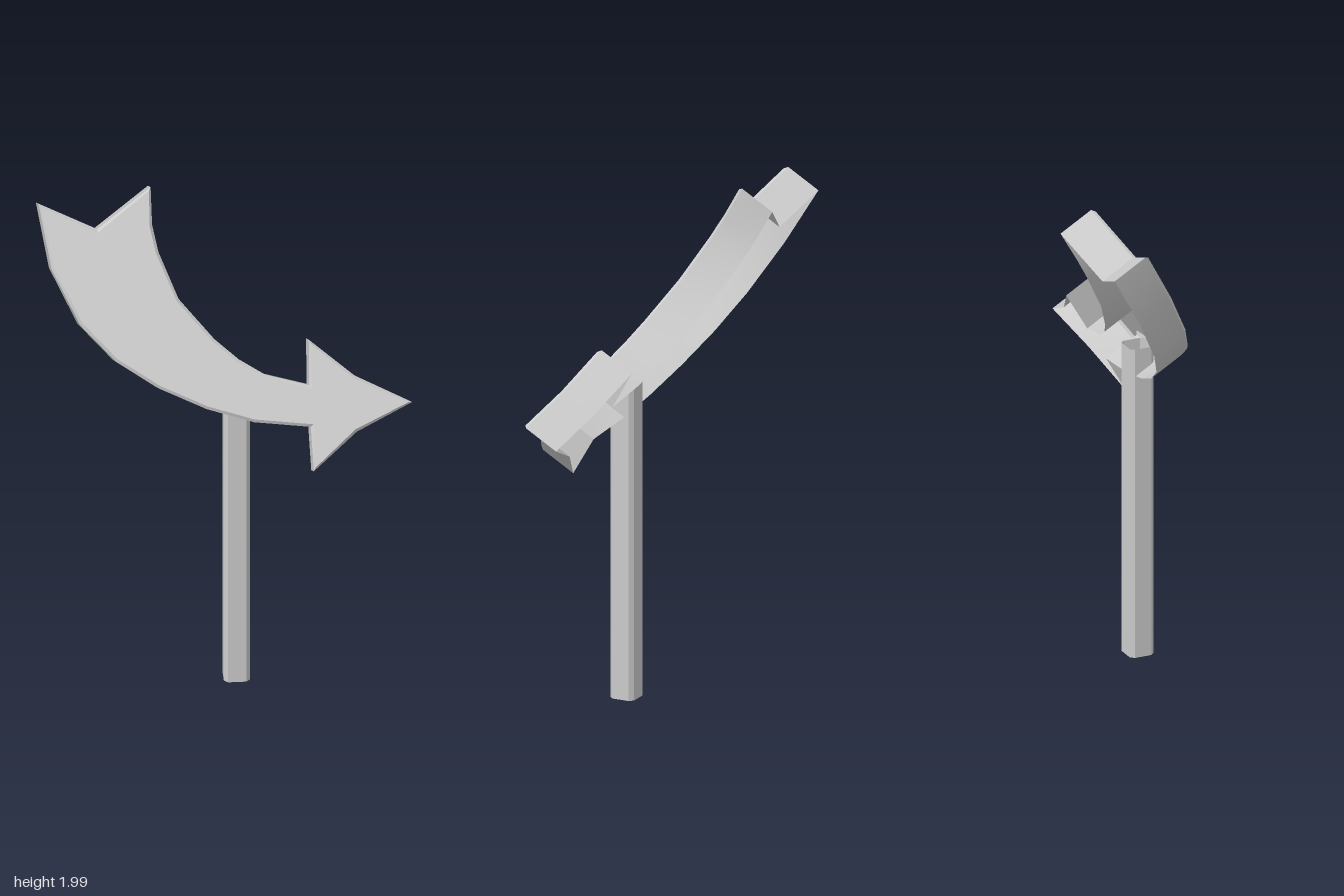
import * as THREE from 'three';
import { toCreasedNormals } from 'three/addons/utils/BufferGeometryUtils.js';

const TILT = Math.PI / 6;      // plate leans back
const THICK = 0.16;
const BASE_Y = 1.04, BASE_Z = 0.35; // lowest point of the plate's front face

// Outline of the front face as [x, height]
const tail = [[-0.70, 1.96], [-0.48, 1.868], [-0.27, 2.0]];
const innerCurve = [[-0.27, 1.875], [-0.25, 1.785], [-0.18, 1.627], [-0.05, 1.49],
  [0.04, 1.42], [0.14, 1.365], [0.305, 1.325]];
const head = [[0.31, 1.475], [0.48, 1.35], [0.695, 1.255], [0.48, 1.165], [0.31, 1.04]];
const outerCurve = [[0.305, 1.187], [0.09, 1.21], [-0.09, 1.26], [-0.27, 1.335],
  [-0.43, 1.43], [-0.56, 1.555], [-0.66, 1.743]];

// Drops every triangle that lies wholly at or behind z = 0
function openBack(geometry) {
  const pos = geometry.attributes.position;
  const kept = [];
  for (let i = 0; i < pos.count; i += 3) {
    if (Math.max(pos.getZ(i), pos.getZ(i + 1), pos.getZ(i + 2)) < 1e-5) continue;
    for (let k = i; k < i + 3; k++) kept.push(pos.getX(k), pos.getY(k), pos.getZ(k));
  }
  const shell = new THREE.BufferGeometry();
  shell.setAttribute('position', new THREE.Float32BufferAttribute(kept, 3));
  return shell;
}

function createArrow(material) {
  const points = [...tail, ...innerCurve, ...head, ...outerCurve].map(
    ([x, y]) => new THREE.Vector2(x, (y - BASE_Y) / Math.cos(TILT)));
  const bevel = 0.011;
  // Hollow tray: front face, narrow bevel and side walls, open behind
  const solid = new THREE.ExtrudeGeometry(new THREE.Shape(points), {
    depth: THICK - bevel,
    bevelEnabled: true,
    bevelThickness: bevel,
    bevelSize: bevel,
    bevelOffset: -bevel,
    bevelSegments: 1,
  });
  const shell = openBack(solid).translate(0, 0, -THICK);
  const arrow = new THREE.Mesh(toCreasedNormals(shell, THREE.MathUtils.degToRad(28)), material);
  arrow.name = 'curvedArrow';
  arrow.rotation.x = -TILT;
  arrow.position.set(0, BASE_Y, BASE_Z);
  return arrow;
}

function createPost(material) {
  // Hollow square tube with chamfered corners, reaching up inside the arrow
  const height = 1.27, half = 0.05, flat = 0.035;
  const geometry = new THREE.CylinderGeometry(1, 1, height, 8, 1, true, Math.PI / 8);
  const pos = geometry.attributes.position;
  const square = (v) => Math.sign(v) * (Math.abs(v) > 0.7 ? half : flat);
  for (let i = 0; i < pos.count; i++) {
    pos.setX(i, square(pos.getX(i)));
    pos.setZ(i, square(pos.getZ(i)));
  }
  const post = new THREE.Mesh(toCreasedNormals(geometry, 0.3), material);
  post.name = 'post';
  post.position.set(0.03, height / 2, 0.127);
  return post;
}

export function createModel() {
  const model = new THREE.Group();
  model.name = 'arrowSign';
  const grey = new THREE.MeshStandardMaterial({ color: 0xcccccc, side: THREE.DoubleSide });
  model.add(createArrow(grey), createPost(grey));
  return model;
}
